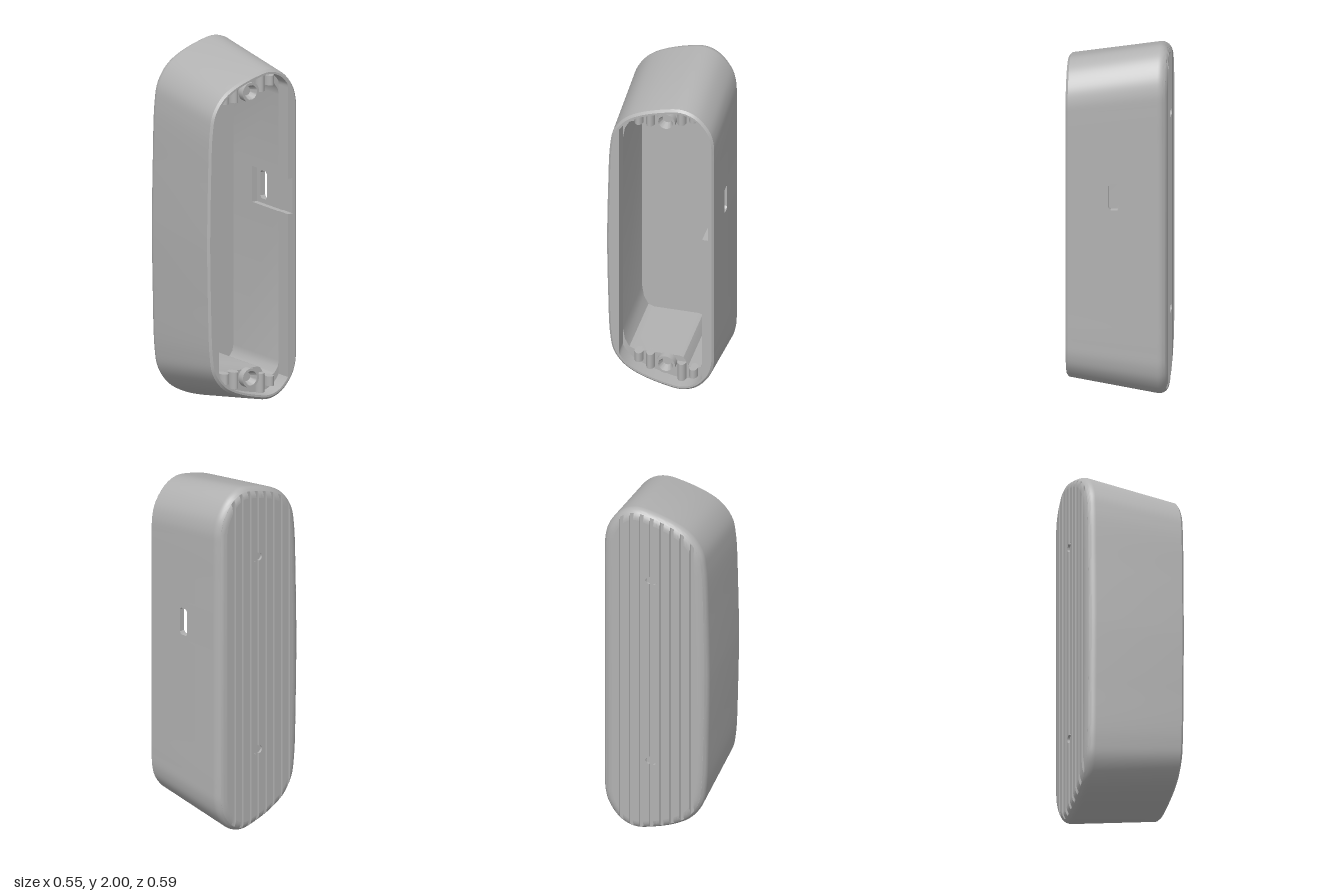
import * as THREE from 'three';
import { toCreasedNormals } from 'three/addons/utils/BufferGeometryUtils.js';

const grey = new THREE.MeshStandardMaterial({ color: 0xb2b2b2, side: THREE.DoubleSide });
grey.name = 'warm grey plastic';

const RIM = 0.273, LEDGE = 0.19, FLOOR = -0.22, BASE = -0.262, FILLET = 0.055;

// Adds the mirrored lower half to a list of [z, y] points
const flip = (pts) => pts.map(([z, y]) => [z, 2 - y]);
const mirrored = (pts) => [...pts, ...flip(pts).reverse()];

// Casing outline, starting and ending beside the strip around the port
const upper = [[-0.298, 1.5], [-0.298, 1.7], [-0.294, 1.8], [-0.27, 1.88], [-0.2, 1.968], [-0.12, 2],
  [-0.02, 1.985], [0.12, 1.935], [0.2, 1.88], [0.258, 1.79], [0.278, 1.68], [0.29, 1.35], [0.295, 1.05]];
const around = [[-0.298, 1.32], ...mirrored(upper), [-0.298, 1.1]];
const outline = new THREE.CatmullRomCurve3(around.map(([z, y]) => new THREE.Vector3(0, y, z)), false, 'centripetal')
  .getSpacedPoints(220).map((p) => [p.z, p.y]);

// The casing gets shorter towards its open side
const taper = (x) => 1 - 0.085 * Math.max(0, x + 0.22) / 0.49;

function section(x, inset) {
  const n = outline.length;
  return outline.map(([z, y], i) => {
    const a = outline[Math.max(0, i - 1)], b = outline[Math.min(n - 1, i + 1)];
    const dz = b[0] - a[0], dy = b[1] - a[1], l = Math.hypot(dz, dy);
    return [z + inset * dy / l, 1 + (y - inset * dz / l - 1) * taper(x)];
  });
}

// Highest point of a section at a given z
function topAt(pts, z) {
  let top = 1;
  for (let i = 1; i < pts.length; i++) {
    const [a, b] = [pts[i - 1], pts[i]];
    if ((a[0] - z) * (b[0] - z) <= 0 && a[0] !== b[0]) {
      top = Math.max(top, a[1] + (b[1] - a[1]) * (z - a[0]) / (b[0] - a[0]));
    }
  }
  return top;
}

// Skin through rings at given x; the closing strip is left out where open(r) is true
function loft(rings, open) {
  const pos = [], idx = [], n = rings[0].pts.length;
  for (const { x, pts } of rings) for (const [z, y] of pts) pos.push(x, y, z);
  for (let r = 0; r < rings.length - 1; r++) {
    for (let i = 0; i < n; i++) {
      if (i === n - 1 && open(r)) continue;
      const j = (i + 1) % n, a = r * n + i, b = r * n + j, c = a + n, d = b + n;
      idx.push(a, b, c, b, d, c);
    }
  }
  const g = new THREE.BufferGeometry();
  g.setAttribute('position', new THREE.Float32BufferAttribute(pos, 3));
  g.setIndex(idx);
  return toCreasedNormals(g, 0.55);
}

// Position on the rounded edge of the closed side
const fillet = (a) => ({ x: -0.22 - FILLET * Math.cos(a), inset: FILLET * (1 - Math.sin(a)) });
const BASE_ANGLE = Math.acos((-0.22 - BASE) / FILLET);

// Outline of one grip bar at a height on the rounded edge; bites are round cuts into a side
function barSection(k, inset) {
  const edge = section(-0.22, inset), z = 0.0085 + 0.057 * k;
  const z0 = k === -4 ? -0.296 + inset : z - 0.018, z1 = k === 4 ? 0.293 - inset : z + 0.018;
  const top = [];
  for (let i = 0; i <= 6; i++) {
    const v = z0 + (z1 - z0) * i / 6;
    top.push([v, topAt(edge, v)]);
  }
  const bites = (side, dir) => [0.45, 1.58].flatMap((y) => Array.from({ length: 9 }, (_, i) => {
    const a = (i / 8) * Math.PI;
    return [side + dir * 0.022 * Math.sin(a), y - 0.022 * Math.cos(a)];
  }));
  const back = k === 0 ? bites(z0, 1) : [];
  const front = k === -1 ? bites(z1, -1).reverse() : [];
  return [...back, ...top, ...front, ...flip(top).reverse()];
}

const toVectors = (pts) => pts.map(([z, y]) => new THREE.Vector2(-z, y));
const sheet = (pts) => new THREE.ShapeGeometry(new THREE.Shape(toVectors(pts)));

export function createModel() {
  const model = new THREE.Group();
  model.name = 'casing';
  const add = (geometry, name, x = 0, y = 0, z = 0) => {
    const mesh = new THREE.Mesh(geometry, grey);
    mesh.name = name;
    mesh.position.set(x, y, z);
    model.add(mesh);
    return mesh;
  };
  // Flat face across the casing; facing 1 looks to +x, -1 to -x
  const addSheet = (pts, name, x, facing = 1) => {
    const mesh = add(sheet(facing > 0 ? pts : pts.map(([z, y]) => [-z, y])), name, x);
    mesh.rotation.y = facing * Math.PI / 2;
  };

  // Opening: thin rim at both ends, thick straight rim at front and back
  const lip = section(RIM, 0.024).map(([z, y]) => [THREE.MathUtils.clamp(z, -0.235, 0.226), y]);

  // Outer skin: rounded closed edge, tapered sides, chamfered rim and rim wall
  const rings = [];
  for (let i = 0; i <= 6; i++) {
    const { x, inset } = fillet(BASE_ANGLE + (i / 6) * (Math.PI / 2 - BASE_ANGLE));
    rings.push({ x, pts: section(-0.22, inset) });
  }
  rings.push({ x: 0.261, pts: section(0.261, 0) }, { x: RIM, pts: section(RIM, 0.012) },
    { x: RIM, pts: lip }, { x: LEDGE, pts: lip });
  add(loft(rings, (r) => r === 6 || r > 7), 'outerShell');

  // Floor of the grooves on the closed side
  addSheet(rings[0].pts, 'grooveFloor', BASE, -1);

  // Raised vertical bars that follow the rounded edge
  for (let k = -4; k <= 4; k++) {
    const barRings = [0, 0.25, 0.5, 0.75, 1].map((t) => {
      const { x, inset } = fillet(BASE_ANGLE * t);
      return { x, pts: barSection(k, inset) };
    });
    add(loft(barRings, () => false), 'gripBar');
    addSheet(barRings[0].pts, 'gripBarFace', barRings[0].x, -1);
  }

  // Back strip with the port slot
  const strip = new THREE.Shape();
  [[-0.22, 1.1], [0.261, 1.1], [0.261, 1.32], [-0.22, 1.32]].forEach(([x, y], i) => {
    const v = 1 + (y - 1) * taper(x);
    i ? strip.lineTo(x, v) : strip.moveTo(x, v);
  });
  const slot = [[-0.008, 1.115], [0.03, 1.115], [0.04, 1.128], [0.04, 1.257], [0.03, 1.27], [-0.008, 1.27],
    [-0.018, 1.257], [-0.018, 1.128]];
  strip.holes.push(new THREE.Path(slot.map(([x, y]) => new THREE.Vector2(x, y))));
  add(new THREE.ExtrudeGeometry(strip, { depth: 0.0315, bevelEnabled: false }), 'portPanel', 0, 0, -0.298);

  // Notch in the rim beside the port: sill, side walls and inner end
  add(new THREE.BoxGeometry(0.033, 0.202, 0.0195), 'notchSill', RIM - 0.0165, 1.191, -0.27625);
  for (const y of [1.09, 1.291]) {
    add(new THREE.BoxGeometry(RIM - LEDGE, 0.004, 0.05), 'notchSide', (RIM + LEDGE) / 2, y, -0.26);
  }
  add(new THREE.BoxGeometry(0.17, 0.2, 0.033), 'notchEnd', -0.135, 1.19, -0.2515);

  // Inner pocket, open towards the port
  const pocketTop = [[-0.235, 1.74], [-0.228, 1.775], [-0.205, 1.805], [-0.17, 1.818], [-0.138, 1.805],
    [-0.122, 1.775], [-0.11, 1.757], [-0.09, 1.75], [0.16, 1.75], [0.19, 1.738], [0.215, 1.69], [0.226, 1.62]];
  const pocket = [[-0.266, 1.29], [-0.235, 1.29], ...mirrored(pocketTop), [-0.235, 1.09], [-0.266, 1.09]];
  add(loft([{ x: LEDGE, pts: pocket }, { x: FLOOR, pts: pocket }], () => true), 'pocketWall');
  addSheet(pocket, 'pocketFloor', FLOOR);

  // Ledges with rounded ribs and screw bosses at both ends
  const ledge = [...lip.filter(([, y]) => y > 1.6), ...pocketTop.slice().reverse()];
  const bossProfile = [[0.012, -0.03], [0.026, 0.005], [0.04, 0.04], [0.054, 0.04], [0.054, 0]]
    .map(([r, h]) => new THREE.Vector2(r, h));
  for (const end of [1, -1]) {
    addSheet(end > 0 ? ledge : flip(ledge), 'ledge', LEDGE);
    for (const z of [0.135, 0.071, -0.103, -0.167]) {
      const low = Math.max(topAt(pocketTop, z - 0.024), topAt(pocketTop, z + 0.024));
      const high = Math.min(topAt(lip, z - 0.024), topAt(lip, z + 0.024));
      const rib = add(new THREE.CylinderGeometry(0.024, 0.024, high - low, 24), 'ledgeRib',
        LEDGE, 1 + end * ((low + high) / 2 - 1), z);
      rib.scale.x = 1.5;
    }
    const boss = add(toCreasedNormals(new THREE.LatheGeometry(bossProfile, 28), 0.5), 'screwBoss',
      LEDGE, 1 + end * 0.795, -0.02);
    boss.rotation.z = -Math.PI / 2;
    const plug = add(new THREE.CircleGeometry(0.013, 20), 'screwHoleBottom', LEDGE - 0.028, 1 + end * 0.795, -0.02);
    plug.rotation.y = Math.PI / 2;
  }
  return model;
}
